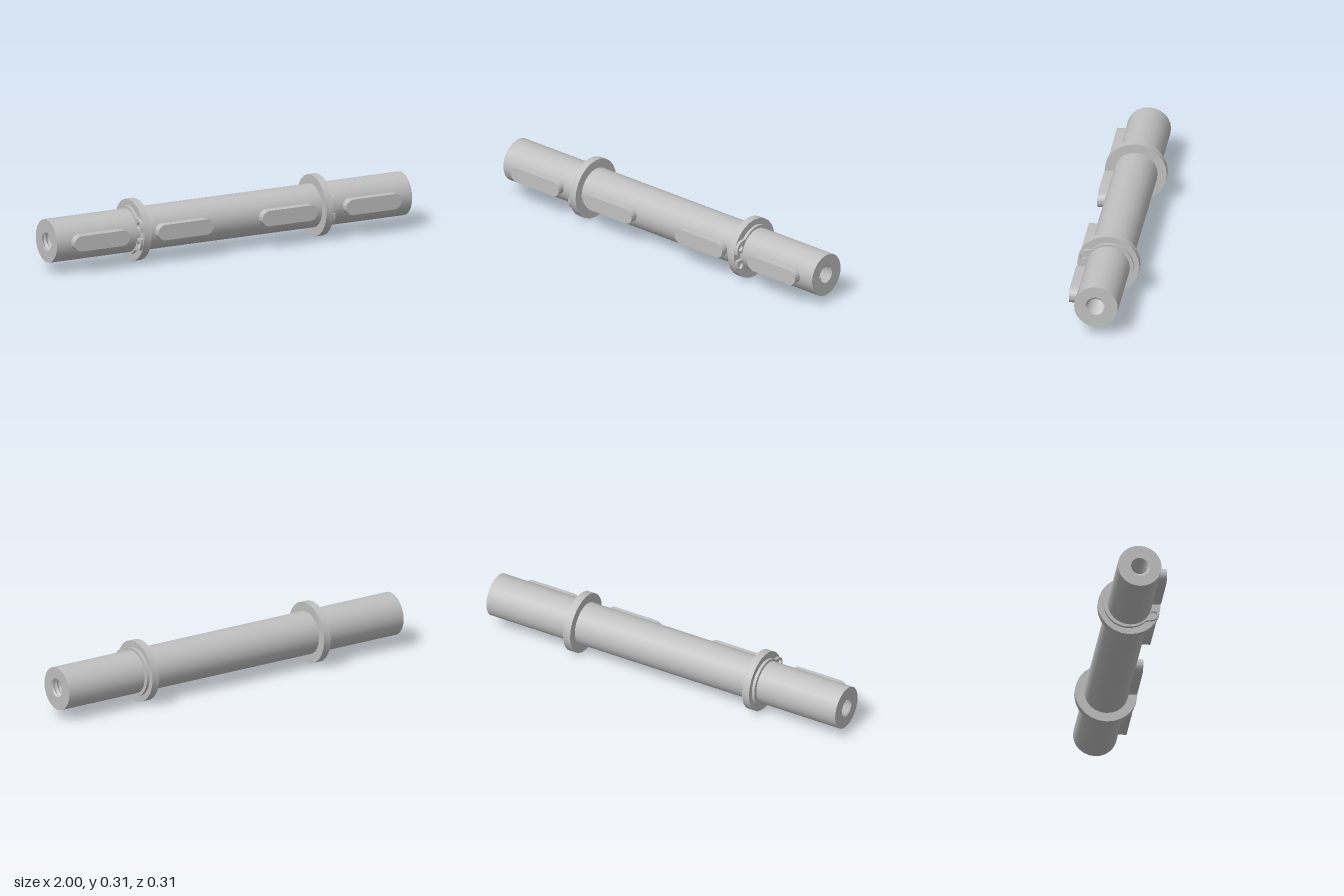
import * as THREE from 'three';
import { toCreasedNormals } from 'three/addons/utils/BufferGeometryUtils.js';

const AXIS_Y = 0.155;
const SIDES = 24;
const SHAFT_R = 0.109;
const BORE_R = 0.052;

const steel = new THREE.MeshStandardMaterial({ color: 0xc0c0c0 });
steel.name = 'steel';

function part(geometry, name) {
  const mesh = new THREE.Mesh(toCreasedNormals(geometry, 0.6), steel);
  mesh.name = name;
  return mesh;
}

const points = (list) => list.map(([x, y]) => new THREE.Vector2(x, y));

// Open-ended bar, revolved about y; the bores close its ends
function shaftGeometry() {
  return new THREE.LatheGeometry(
    points([[BORE_R, -1], [SHAFT_R, -1], [SHAFT_R, 1], [BORE_R, 1]]), SIDES);
}

// Blind bore with a helical thread, opening at y = 1
function threadGeometry() {
  const pitch = 0.022, depth = 0.24, crest = 0.043;
  const profile = [];
  for (let y = 1 + pitch; y > 1 - depth; y -= pitch) {
    profile.push([BORE_R, y], [crest, y - pitch * 0.45], [crest, y - pitch * 0.55]);
  }
  profile.push([crest, 1 - depth - 2 * pitch], [0, 1 - depth - 2 * pitch]);
  const geometry = new THREE.LatheGeometry(points(profile), SIDES);
  const pos = geometry.attributes.position;
  const rows = profile.length;
  for (let i = 0; i < pos.count; i++) {
    const turn = Math.floor(i / rows) / SIDES;
    const y = pos.getY(i) - turn * pitch;
    pos.setY(i, THREE.MathUtils.clamp(y, 1 - depth, 1));
  }
  return geometry;
}

// Round-ended key lying along x
function keyGeometry() {
  const r = 0.039, half = 0.155 - r;
  const shape = new THREE.Shape();
  shape.absarc(half, 0, r, -Math.PI / 2, Math.PI / 2, false);
  shape.absarc(-half, 0, r, Math.PI / 2, Math.PI * 1.5, false);
  return new THREE.ExtrudeGeometry(shape, { depth: 0.065, bevelEnabled: false, curveSegments: 10 });
}

// Open retaining ring with two drilled lugs towards the front
function clipGeometry() {
  const thickness = 0.015, end = Math.PI - 0.18;
  const shape = new THREE.Shape();
  shape.absarc(0.006, 0, 0.122, -2.38, 2.38, false);
  shape.lineTo(-0.118, 0.079);
  shape.quadraticCurveTo(-0.14, 0.072, -0.146, 0.04);
  shape.lineTo(-0.146, 0.018);
  shape.lineTo(-0.1, 0.018);
  shape.absarc(0, 0, 0.1, end, -end, true);
  shape.lineTo(-0.146, -0.018);
  shape.lineTo(-0.146, -0.04);
  shape.quadraticCurveTo(-0.14, -0.072, -0.118, -0.079);
  for (const side of [1, -1]) {
    const hole = new THREE.Path();
    hole.absarc(-0.121, side * 0.048, 0.0165, 0, Math.PI * 2, true);
    shape.holes.push(hole);
  }
  return new THREE.ExtrudeGeometry(shape, { depth: thickness, bevelEnabled: false, curveSegments: SIDES })
    .translate(0, 0, -thickness / 2)
    .rotateY(Math.PI / 2);
}

export function createModel() {
  const model = new THREE.Group();
  model.name = 'keyedShaft';

  const shaft = part(shaftGeometry().rotateZ(-Math.PI / 2), 'shaft');
  shaft.position.y = AXIS_Y;
  model.add(shaft);

  for (const side of [1, -1]) {
    const label = side > 0 ? 'left' : 'right';

    // Threaded bore in each end
    const bore = part(threadGeometry().rotateZ(-side * Math.PI / 2), label + 'ThreadedBore');
    bore.position.y = AXIS_Y;

    // Collar with a retaining ring on its outer face
    const collar = part(
      new THREE.CylinderGeometry(0.155, 0.155, 0.04, SIDES).rotateZ(Math.PI / 2), label + 'Collar');
    collar.position.set(side * 0.513, AXIS_Y, 0);

    const clip = part(clipGeometry(), label + 'RetainingRing');
    clip.position.set(side * 0.5405, AXIS_Y, 0);

    model.add(bore, collar, clip);

    // Inner and outer keys
    for (const [x, name] of [[0.293, 'InnerKey'], [0.765, 'OuterKey']]) {
      const key = part(keyGeometry(), label + name);
      key.position.set(side * x, AXIS_Y + 0.002, 0.08);
      model.add(key);
    }
  }
  return model;
}
